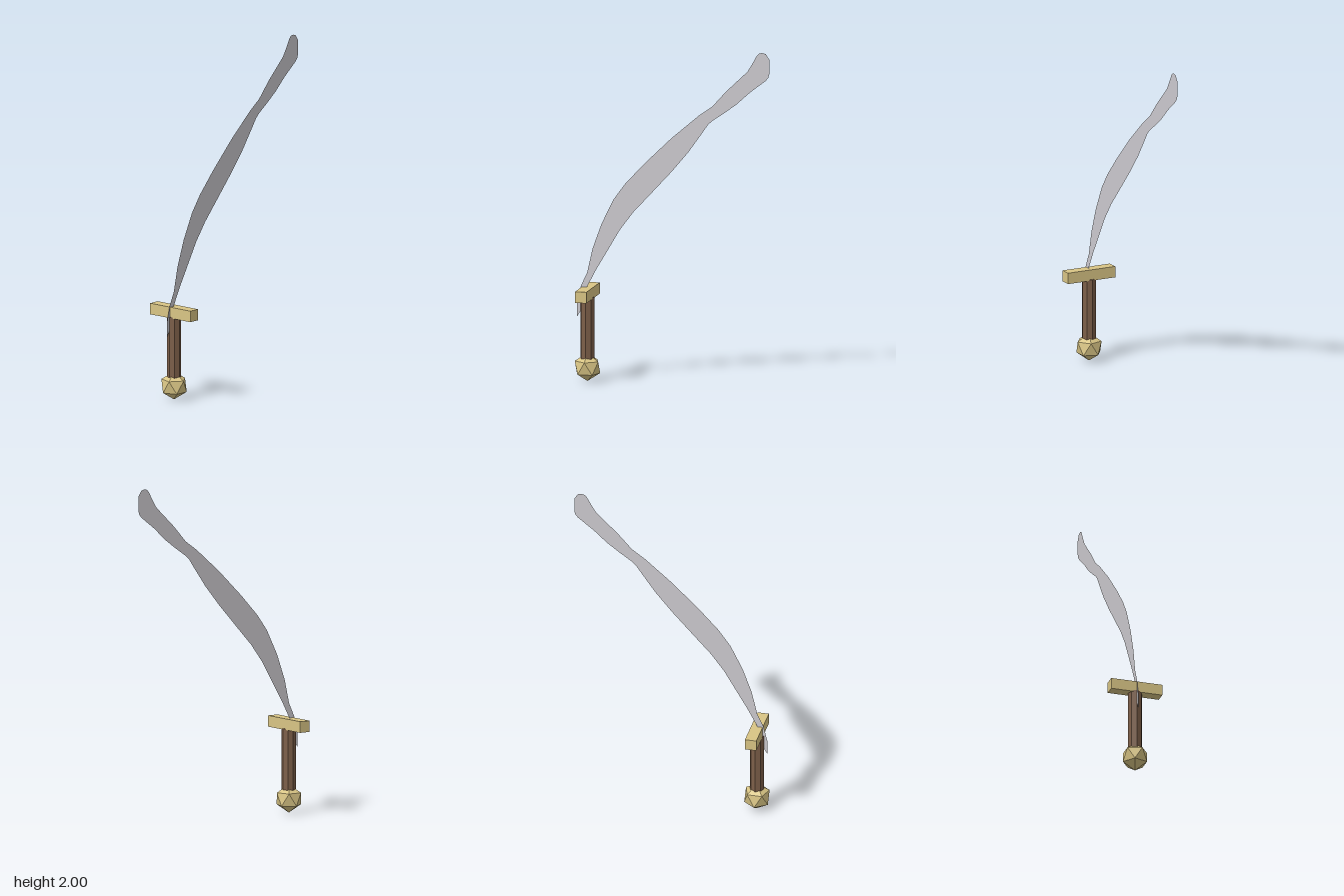
import * as THREE from 'three';

const HILT_Z = 0.511;

// Blade edges as [z, y], both running from hilt to tip
const backEdge = [
  [0.575, 0.38], [0.575, 0.465], [0.55, 0.566], [0.513, 0.645], [0.48, 0.79],
  [0.426, 0.94], [0.352, 1.09], [0.283, 1.185], [0.167, 1.31], [0.003, 1.47],
  [-0.16, 1.61], [-0.24, 1.667], [-0.325, 1.762], [-0.452, 1.884], [-0.478, 1.926],
  [-0.51, 1.984], [-0.522, 1.996], [-0.54, 2.0], [-0.563, 1.995],
];
const cuttingEdge = [
  [0.55, 0.42], [0.511, 0.566], [0.458, 0.667], [0.405, 0.757], [0.315, 0.91],
  [0.236, 1.016], [0.14, 1.12], [0.003, 1.27], [-0.097, 1.39], [-0.177, 1.503],
  [-0.215, 1.558], [-0.24, 1.582], [-0.31, 1.63], [-0.388, 1.688], [-0.468, 1.762],
  [-0.563, 1.836], [-0.578, 1.855], [-0.584, 1.875], [-0.584, 1.963],
];

function material(color, extra = {}) {
  return new THREE.MeshStandardMaterial({ color, flatShading: true, ...extra });
}

export function createModel() {
  const group = new THREE.Group();
  const gold = material(0xd9c585);
  const wood = material(0x7d5f49);
  const steel = material(0xcccacf, { side: THREE.DoubleSide });

  const add = (name, geometry, mat, y = 0, z = 0) => {
    const mesh = new THREE.Mesh(geometry, mat);
    mesh.name = name;
    mesh.position.set(0, y, z);
    group.add(mesh);
  };

  // Pommel: icosahedron tipped so that a corner points straight down
  const pommel = new THREE.IcosahedronGeometry(0.083, 0);
  pommel.rotateZ(-Math.atan(2 / (1 + Math.sqrt(5))));
  add('pommel', pommel, gold, 0.085, HILT_Z);

  // Eight-sided grip
  add('grip', new THREE.CylinderGeometry(0.042, 0.042, 0.38, 8), wood, 0.31, HILT_Z);

  // Crossguard bar
  add('crossguard', new THREE.BoxGeometry(0.312, 0.066, 0.068), gold, 0.526, HILT_Z);

  // Paper-thin curved blade in the x = 0 plane
  const outline = [...backEdge, ...cuttingEdge.slice().reverse()];
  const shape = new THREE.Shape(outline.map(([z, y]) => new THREE.Vector2(-z, y)));
  add('blade', new THREE.ShapeGeometry(shape).rotateY(Math.PI / 2), steel);

  return group;
}
